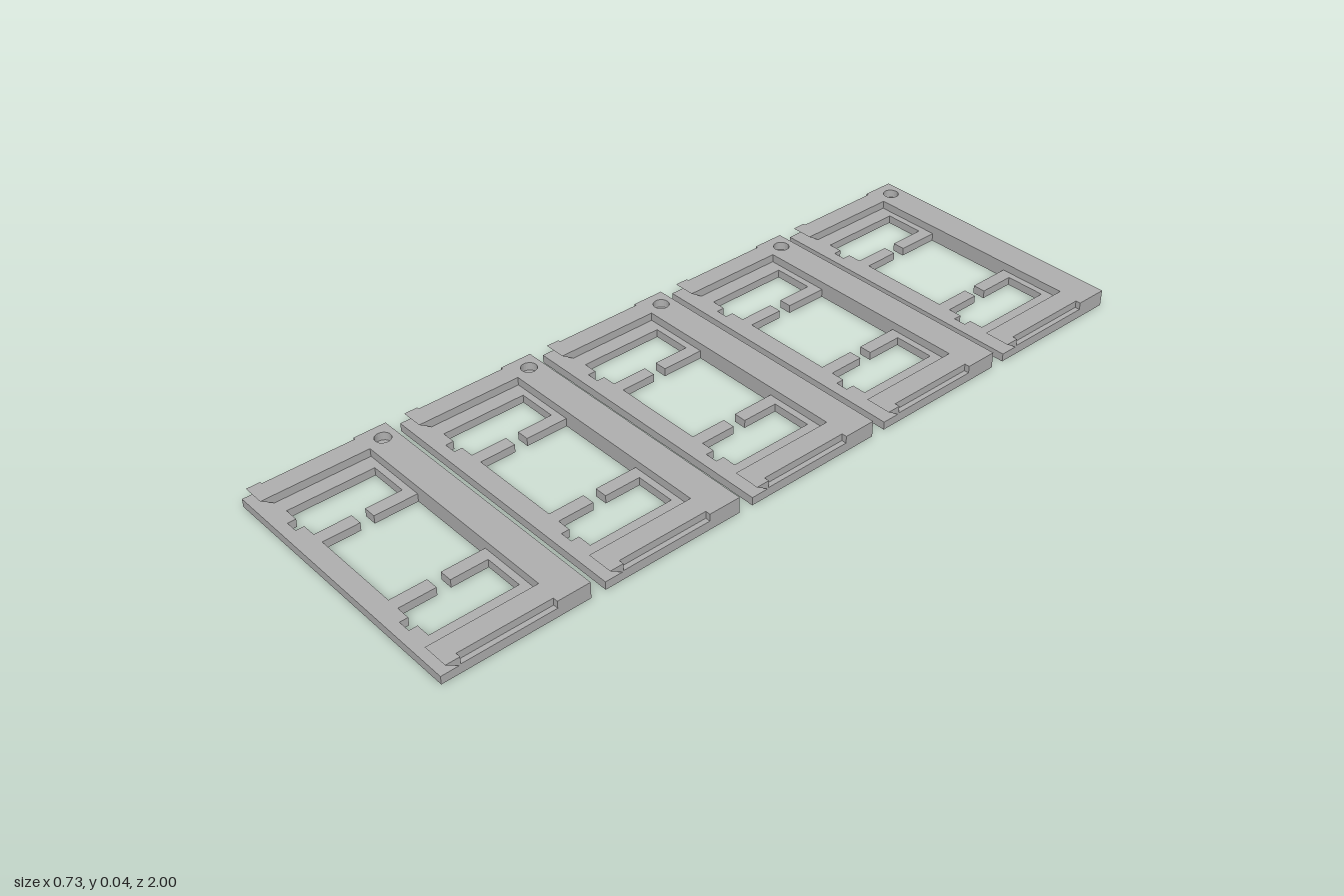
import * as THREE from 'three';

const gray = new THREE.MeshStandardMaterial({ color: 0xb0b0b0 });
gray.name = 'plain gray';

const HALF_W = 0.363, LENGTH = 0.37, PITCH = 0.4075, COUNT = 5;
const BASE_TOP = 0.021, TOP = 0.042;

const toPoints = (list) => list.map(([a, b]) => new THREE.Vector2(a, b));

// Extrude a plan outline (x, z) between two heights
function slab(name, outline, holes, y0, y1) {
  const shape = new THREE.Shape(toPoints(outline));
  shape.holes.push(...holes);
  const geo = new THREE.ExtrudeGeometry(shape, { depth: y1 - y0, bevelEnabled: false, curveSegments: 12 });
  geo.rotateX(Math.PI / 2).translate(0, y1, 0);
  const mesh = new THREE.Mesh(geo, gray);
  mesh.name = name;
  return mesh;
}

// Extrude a side profile (z, y) between two x positions
function sideProfile(name, profile, x0, x1) {
  const geo = new THREE.ExtrudeGeometry(new THREE.Shape(toPoints(profile)), { depth: x1 - x0, bevelEnabled: false });
  geo.rotateY(-Math.PI / 2).translate(x1, 0, 0);
  const mesh = new THREE.Mesh(geo, gray);
  mesh.name = name;
  return mesh;
}

const rect = (x0, z0, x1, z1) => [[x0, z0], [x1, z0], [x1, z1], [x0, z1]];

// One opening: centre bay joined to two notched side bays through gaps in the dividers
function openingPath() {
  const half = [
    [0.121, 0.08], [0.121, 0.192], [0.154, 0.192], [0.154, 0.097], [0.259, 0.097],
    [0.259, 0.32], [0.222, 0.32], [0.222, 0.341], [0.19, 0.341], [0.19, 0.32],
    [0.154, 0.32], [0.154, 0.226], [0.121, 0.226], [0.121, 0.32],
  ];
  const mirrored = half.map(([x, z]) => [-x, z]).reverse();
  const shift = -0.006;
  return new THREE.Path(toPoints([...half, ...mirrored].map(([x, z]) => [x + shift, z])));
}

function createPanel() {
  const panel = new THREE.Group();

  // Base plate with the opening
  panel.add(slab('basePlate', rect(-HALF_W, 0, HALF_W, LENGTH), [openingPath()], 0, BASE_TOP));

  // Raised back bar with a blind round hole
  const hole = new THREE.Path();
  hole.absarc(-0.32, 0.036, 0.02, 0, Math.PI * 2, true);
  panel.add(slab('backBar', rect(-HALF_W, 0, HALF_W, 0.08), [hole], BASE_TOP, TOP));

  // Side rails with an undercut front tip
  const rail = [[0.08, BASE_TOP], [0.325, BASE_TOP], [0.357, TOP], [0.08, TOP]];
  panel.add(sideProfile('rightRail', rail, -0.305, -0.357));
  panel.children.pop();
  panel.add(sideProfile('rightRail', rail, -0.357, -0.305));
  panel.add(sideProfile('leftRail', rail, 0.296, 0.35));

  // Outer skin of each rail, cut away along its middle
  const skin = [
    [0.08, BASE_TOP], [0.325, BASE_TOP], [0.357, TOP], [0.322, TOP],
    [0.322, 0.0235], [0.085, 0.0235], [0.085, TOP], [0.08, TOP],
  ];
  panel.add(sideProfile('rightRailSkin', skin, -HALF_W, -0.357));
  panel.add(sideProfile('leftRailSkin', skin, 0.35, HALF_W));
  return panel;
}

export function createModel() {
  const model = new THREE.Group();
  model.name = 'framePanels';
  const first = createPanel();
  for (let i = 0; i < COUNT; i++) {
    const panel = first.clone();
    panel.name = `panel${i + 1}`;
    panel.position.z = -1 + i * PITCH;
    model.add(panel);
  }
  return model;
}
